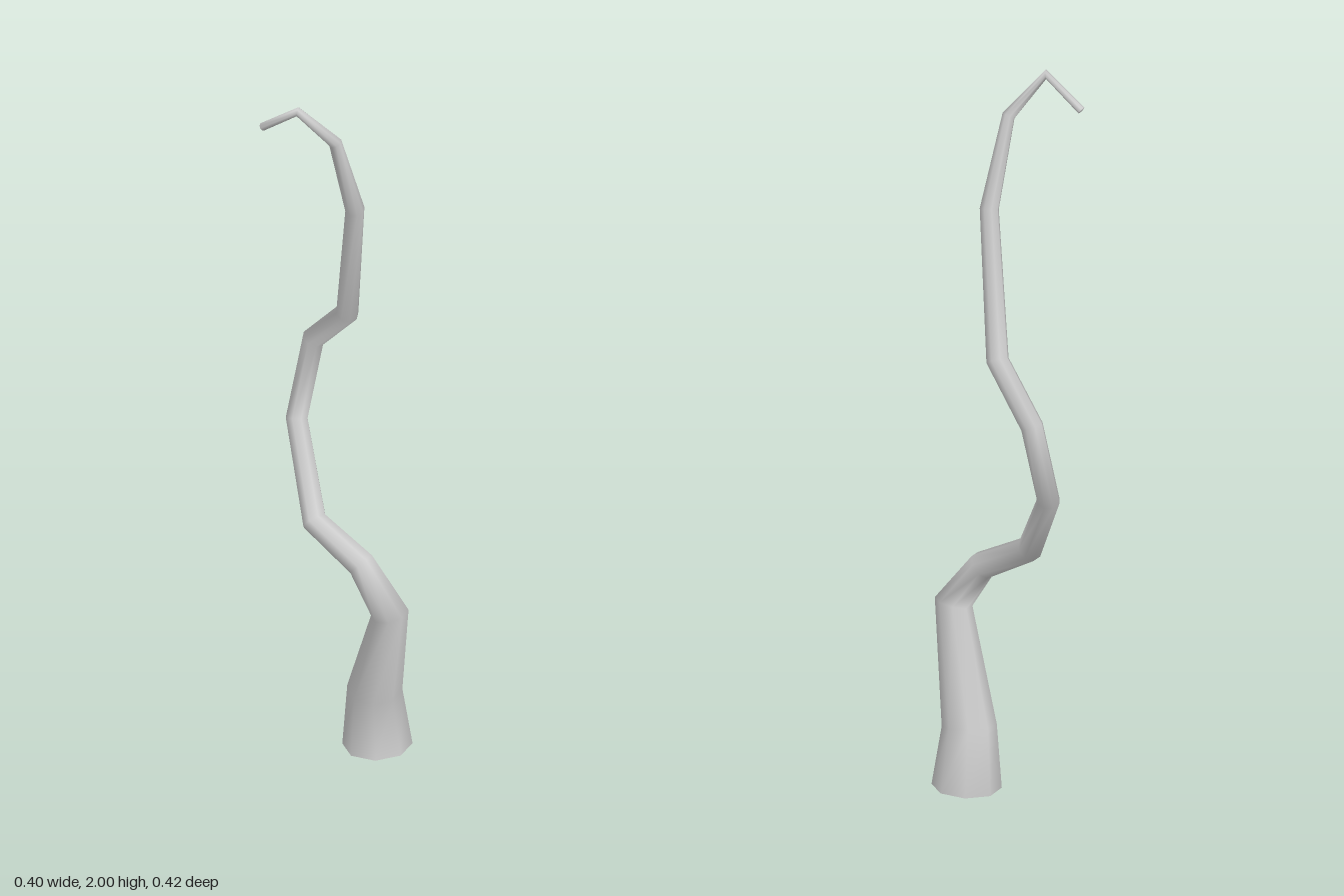
import * as THREE from 'three';

const SIDES = 8;

// Centreline of the stem: x, y, z, radius
const RINGS = [
  [0.107, 0.006, 0.042, 0.093],
  [0.1, 0.178, 0.04, 0.073],
  [0.147, 0.48, 0.163, 0.051],
  [0.069, 0.6, 0.12, 0.039],
  [-0.06, 0.68, 0.038, 0.035],
  [-0.118, 0.887, -0.144, 0.031],
  [-0.076, 1.11, -0.182, 0.031],
  [0.02, 1.255, -0.076, 0.031],
  [0.047, 1.64, 0.037, 0.026],
  [-0.001, 1.88, 0.101, 0.018],
  [-0.099, 1.988, 0.129, 0.013],
  [-0.195, 1.907, 0.076, 0.011],
];

// Tapered tube: each ring lies in the plane halfway between its two segments
function taperedTube(rings, sides) {
  const points = rings.map(([x, y, z]) => new THREE.Vector3(x, y, z));
  const last = points.length - 1;
  const segments = points.slice(1).map((p, i) => p.clone().sub(points[i]).normalize());
  const positions = [], index = [];
  const side = new THREE.Vector3(1, 0, 0);
  let previous = new THREE.Vector3(0, 1, 0);

  points.forEach((p, i) => {
    const a = segments[Math.max(i - 1, 0)], b = segments[Math.min(i, last - 1)];
    const tangent = a.clone().add(b).normalize();
    // carry the frame along without twisting
    side.applyQuaternion(new THREE.Quaternion().setFromUnitVectors(previous, tangent));
    const across = new THREE.Vector3().crossVectors(side, tangent);
    for (let j = 0; j < sides; j++) {
      const t = (j / sides) * Math.PI * 2;
      const v = p.clone()
        .addScaledVector(side, Math.cos(t) * rings[i][3])
        .addScaledVector(across, Math.sin(t) * rings[i][3]);
      positions.push(v.x, v.y, v.z);
      if (i < last) {
        const k = i * sides + j, n = i * sides + (j + 1) % sides;
        index.push(k, k + sides, n, n, k + sides, n + sides);
      }
    }
    previous = tangent;
  });

  // close the tip
  const end = last * sides;
  for (let j = 1; j < sides - 1; j++) index.push(end, end + j + 1, end + j);

  const geometry = new THREE.BufferGeometry();
  geometry.setAttribute('position', new THREE.Float32BufferAttribute(positions, 3));
  geometry.setIndex(index);
  geometry.computeVertexNormals();
  return geometry;
}

export function createModel() {
  const group = new THREE.Group();
  group.name = 'twistedTendril';

  // Winding stem, open at the foot
  const stem = new THREE.Mesh(
    taperedTube(RINGS, SIDES),
    new THREE.MeshStandardMaterial({ color: 0xcccccc, side: THREE.DoubleSide })
  );
  stem.name = 'stem';
  group.add(stem);
  return group;
}
